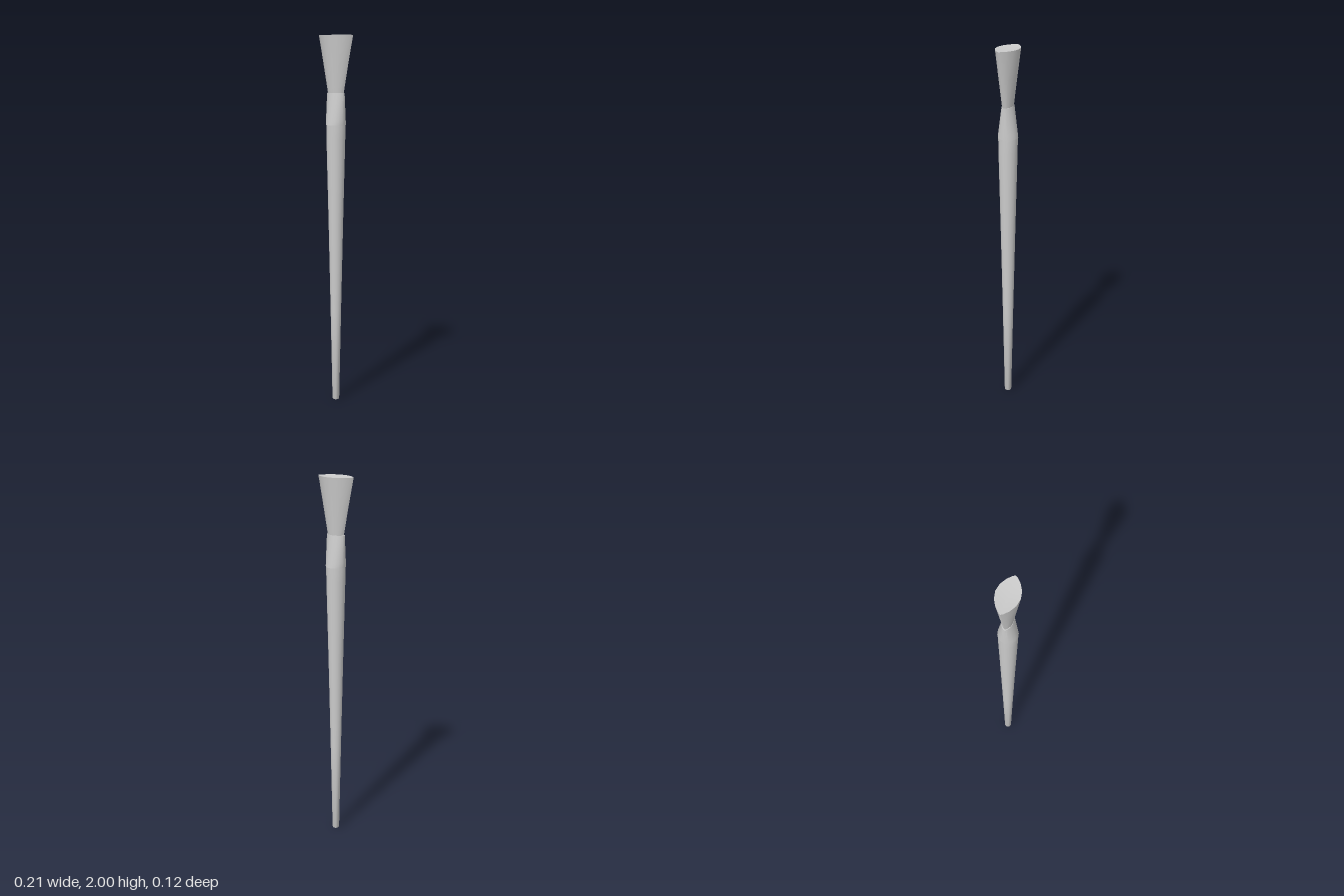
import * as THREE from 'three';
import { toCreasedNormals } from 'three/addons/utils/BufferGeometryUtils.js';

const SIDES = 16;
const material = new THREE.MeshStandardMaterial({ color: 0xcccccc, side: THREE.DoubleSide });

// Capped tube through rows of [y, half width, half depth, pinch];
// a pinch above 1 sharpens the round section into a lens.
function loft(name, rows, dip = 0) {
  const n = rows.length - 1;
  const geo = new THREE.CylinderGeometry(1, 1, n, SIDES, n);
  const pos = geo.attributes.position;
  for (let i = 0; i < pos.count; i++) {
    const [y, rx, rz, pinch] = rows[Math.round(pos.getY(i) + n / 2)];
    const x = pos.getX(i), z = pos.getZ(i);
    const centre = Math.hypot(x, z) < 0.01;
    const lowered = centre && pos.getY(i) > 0 ? dip : 0;
    pos.setXYZ(i, x * rx, y - lowered, Math.sign(z) * Math.abs(z) ** pinch * rz);
  }
  const mesh = new THREE.Mesh(toCreasedNormals(geo, 0.8), material);
  mesh.name = name;
  return mesh;
}

export function createModel() {
  const brush = new THREE.Group();
  brush.name = 'paintBrush';

  // Long tapering round handle with a softened butt
  brush.add(loft('handle', [
    [0, 0.016, 0.016, 1],
    [0.008, 0.019, 0.019, 1],
    [0.5, 0.029, 0.029, 1],
    [1, 0.04, 0.04, 1],
    [1.45, 0.051, 0.051, 1],
    [1.53, 0.052, 0.052, 1],
  ]));

  // Sleeve: round at the handle, pressed flat at the bristles
  brush.add(loft('ferrule', [
    [1.525, 0.054, 0.054, 1],
    [1.55, 0.054, 0.051, 1],
    [1.695, 0.053, 0.028, 1.2],
  ]));

  // Flaring lens-shaped bristles with a slightly hollow tip
  brush.add(loft('bristles', [
    [1.69, 0.047, 0.026, 1.3],
    [1.85, 0.076, 0.044, 1.5],
    [2, 0.105, 0.062, 1.7],
  ], 0.01));

  return brush;
}
